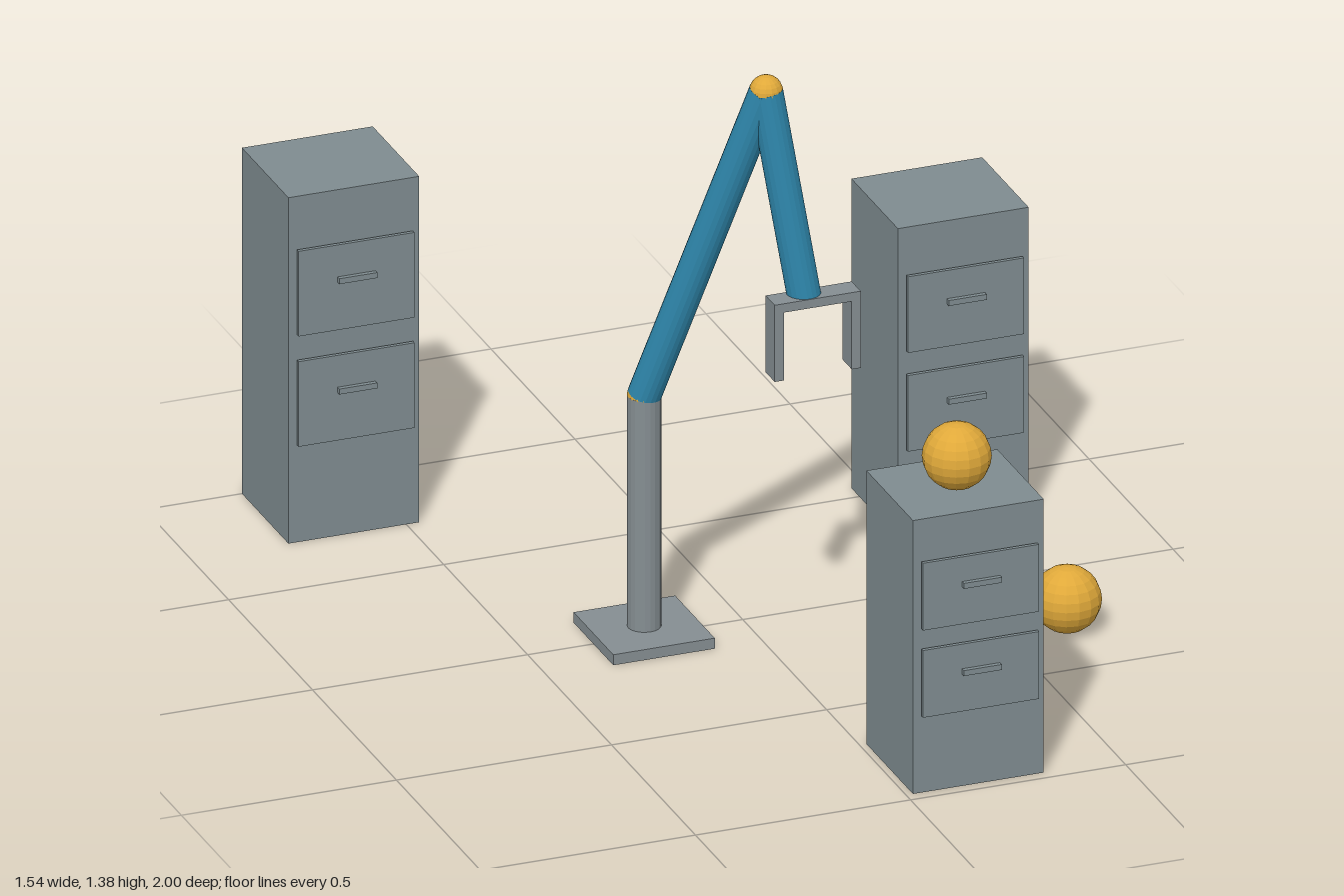
import * as THREE from 'three';

export function createModel() {
  const root = new THREE.Group();
  root.name = 'robotArmWithCabinets';

  const mat = (name, color) => {
    const m = new THREE.MeshStandardMaterial({ color, flatShading: true });
    m.name = name;
    return m;
  };
  const cabinetGrey = mat('cabinet grey', 0x7f8c90);
  const metalGrey = mat('metal grey', 0x858e92);
  const armBlue = mat('arm blue', 0x2e86ab);
  const gold = mat('gold', 0xe0a93a);

  const add = (parent, name, geometry, material, x, y, z) => {
    const mesh = new THREE.Mesh(geometry, material);
    mesh.name = name;
    mesh.position.set(x, y, z);
    parent.add(mesh);
    return mesh;
  };
  const box = (parent, name, material, w, h, d, x, y, z) =>
    add(parent, name, new THREE.BoxGeometry(w, h, d), material, x, y, z);
  const ball = (parent, name, r, p) =>
    add(parent, name, new THREE.SphereGeometry(r, 16, 12), gold, ...p);

  // Round bar between two points
  const bar = (parent, name, material, r, a, b) => {
    const from = new THREE.Vector3(...a), to = new THREE.Vector3(...b);
    const dir = to.clone().sub(from);
    const mid = from.clone().add(to).multiplyScalar(0.5);
    const mesh = add(parent, name, new THREE.CylinderGeometry(r, r, dir.length(), 20),
      material, mid.x, mid.y, mid.z);
    mesh.quaternion.setFromUnitVectors(new THREE.Vector3(0, 1, 0), dir.normalize());
  };

  // Cabinets: drawer heights scale with the cabinet, fronts float just ahead of the body
  const depth = 0.277;
  const cabinet = (x, h, front) => {
    const g = new THREE.Group();
    g.name = 'cabinet';
    g.position.set(x, 0, front);
    root.add(g);
    box(g, 'cabinetBody', cabinetGrey, 0.304, h, depth, 0, h / 2, -depth / 2);
    for (const f of [0.408, 0.727]) {
      box(g, 'drawerFront', cabinetGrey, 0.27, h * 0.246, 0.009, 0, h * f, 0.012);
      box(g, 'drawerHandle', cabinetGrey, 0.088, 0.013, 0.013, 0, h * (f + 0.023), 0.0205);
    }
  };
  cabinet(-0.622, 0.825, -0.723);
  cabinet(0.618, 0.738, -0.27);
  cabinet(0.168, 0.652, 0.973);

  // Arm: base plate, post, two links and their joints
  const arm = new THREE.Group();
  arm.name = 'robotArm';
  root.add(arm);
  const r = 0.0375;
  const shoulder = [-0.229, 0.575, 0], elbow = [-0.016, 1.34, 0.18], wrist = [0.053, 0.85, 0.237];
  box(arm, 'basePlate', metalGrey, 0.236, 0.025, 0.236, -0.229, 0.0125, 0);
  bar(arm, 'post', metalGrey, r, [-0.229, 0.025, 0], shoulder);
  bar(arm, 'upperArm', armBlue, r, shoulder, elbow);
  bar(arm, 'forearm', armBlue, r, elbow, wrist);
  ball(arm, 'shoulderJoint', r, shoulder);
  ball(arm, 'elbowJoint', r, elbow);

  // Gripper: crossbar with two hanging fingers
  const gx = 0.0675, gz = 0.247;
  box(arm, 'gripperBar', metalGrey, 0.2, 0.021, 0.054, gx, 0.8625, gz);
  for (const s of [-1, 1]) {
    box(arm, 'gripperFinger', metalGrey, 0.021, 0.164, 0.054, gx + s * 0.0895, 0.772, gz);
  }

  // Loose balls: one on the floor, one on the front cabinet
  ball(root, 'floorBall', 0.076, [0.632, 0.078, 0.312]);
  ball(root, 'cabinetBall', 0.076, [0.167, 0.728, 0.847]);

  return root;
}
